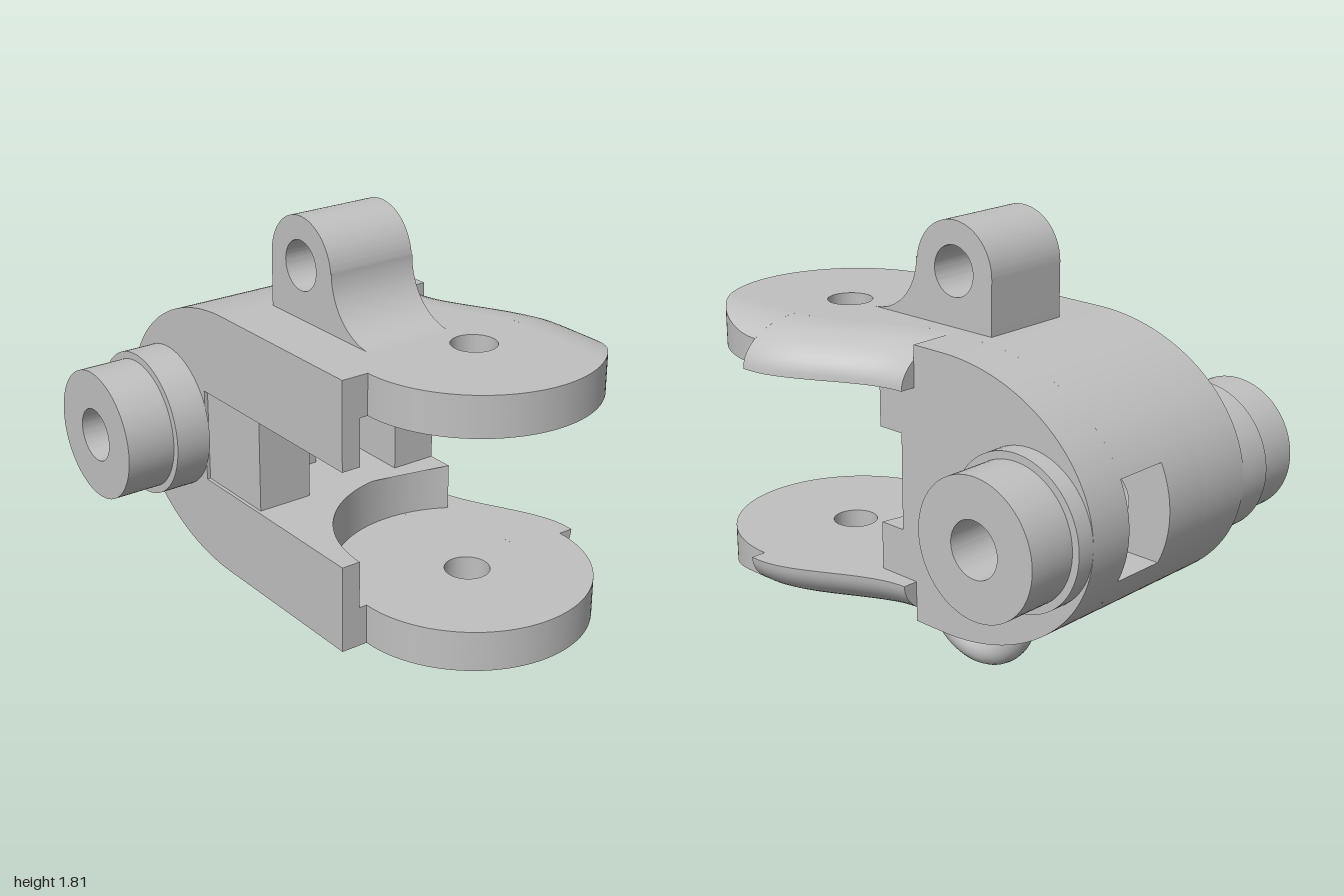
import * as THREE from 'three';
import { toCreasedNormals } from 'three/addons/utils/BufferGeometryUtils.js';

const MID = 0.845;                 // height of the mirror plane between the jaws
const TOP = 1.4, PLATE = 1.235, INNER = 1.04;
const END = -0.13;                 // where the body hands over to the jaws
const EYE = { x: 0.505, z: -0.205, r: 0.492 };
const ROUND = 0.275;               // width of the rounded rear edge

export function createModel() {
  const model = new THREE.Group();
  const steel = new THREE.MeshStandardMaterial({ color: 0xc0c0c0 });
  steel.name = 'plain grey';

  const add = (name, geometry) => {
    const mesh = new THREE.Mesh(toCreasedNormals(geometry, 0.5), steel);
    mesh.name = name;
    model.add(mesh);
  };
  // Reflects a geometry in the mid plane and restores its winding
  const flip = (geometry) => {
    const g = geometry.index ? geometry.toNonIndexed() : geometry.clone();
    const p = g.attributes.position, a = new THREE.Vector3(), b = new THREE.Vector3();
    for (let i = 0; i < p.count; i++) p.setY(i, 2 * MID - p.getY(i));
    for (let i = 0; i < p.count; i += 3) {
      a.fromBufferAttribute(p, i + 1);
      b.fromBufferAttribute(p, i + 2);
      p.setXYZ(i + 1, b.x, b.y, b.z);
      p.setXYZ(i + 2, a.x, a.y, a.z);
    }
    return g;
  };
  const addPair = (name, geometry) => {
    add('upper ' + name, geometry);
    add('lower ' + name, flip(geometry));
  };
  const slab = (shape, z0, z1) => new THREE.ExtrudeGeometry(shape,
    { depth: z1 - z0, bevelEnabled: false, curveSegments: 40 }).translate(0, 0, z0);
  // Plan shapes are drawn in (x, -z)
  const floor = (shape, y0, y1) => new THREE.ExtrudeGeometry(shape,
    { depth: y1 - y0, bevelEnabled: false, curveSegments: 48 }).rotateX(-Math.PI / 2).translate(0, y0, 0);
  const hole = (shape, x, y, r) => shape.holes.push(new THREE.Path().absarc(x, y, r, 0, Math.PI * 2, true));

  // Body: slices along z, each with its own slot depth
  const bodySlice = (slot) => {
    const s = new THREE.Shape();
    s.moveTo(END, TOP);
    s.lineTo(-0.28, TOP);
    s.absellipse(-0.28, MID, 0.72, 0.555, Math.PI / 2, Math.PI * 1.5, false);
    s.lineTo(END, 0.29);
    s.lineTo(END, 0.65);
    s.lineTo(slot, 0.65);
    s.lineTo(slot, INNER);
    s.lineTo(END, INNER);
    hole(s, -0.7, MID, 0.11);
    return s;
  };
  [['front skin', -0.43, 0.385, 0.4], ['front block', -0.06, 0.15, 0.385],
    ['middle wall', -0.3, -0.05, 0.15], ['rear wall', -0.06, -0.475, -0.28]]
    .forEach(([name, slot, z0, z1]) => add('body ' + name, slab(bodySlice(slot), z0, z1)));

  // Body: window passing right through to the rounded end
  const bridge = new THREE.Shape();
  bridge.moveTo(END, INNER);
  bridge.lineTo(END, TOP);
  bridge.lineTo(-0.28, TOP);
  bridge.absellipse(-0.28, MID, 0.72, 0.555, Math.PI / 2, Math.PI - 0.359, false);
  addPair('window bridge', slab(bridge, -0.28, -0.05));

  // Thick jaw roots, hollowed by a round clearance
  const root = new THREE.Shape();
  root.moveTo(END, -0.4);
  root.lineTo(EYE.x, -0.4);
  root.lineTo(EYE.x, -0.32);
  root.absarc(EYE.x, -EYE.z, 0.525, Math.PI * 1.5, Math.PI - 0.54, true);
  root.lineTo(END, 0.475);
  addPair('jaw root', floor(root, INNER, PLATE));

  // Flat part of the jaw plates with the pin hole
  const rearEdge = (x) => -0.54 - 0.22 * THREE.MathUtils.smoothstep(x, END, 0.47);
  const plate = new THREE.Shape();
  plate.moveTo(END, -0.4);
  plate.lineTo(EYE.x, -0.4);
  plate.lineTo(EYE.x, -EYE.z - EYE.r);
  plate.absarc(EYE.x, -EYE.z, EYE.r, -Math.PI / 2, Math.asin(0.28 / EYE.r), false);
  for (let i = 24; i >= 0; i--) {
    const x = END + (EYE.x - END) * i / 24;
    plate.lineTo(x, -rearEdge(x) - ROUND);
  }
  hole(plate, EYE.x, -EYE.z, 0.09);
  addPair('jaw plate', floor(plate, PLATE, TOP));

  // Rounded rear edge: cross-sections in z and y lofted along x
  const roundedEdge = (x0, x1, edge, steps) => {
    const pos = [], rings = [];
    for (let i = 0; i <= steps; i++) {
      const x = x0 + (x1 - x0) * i / steps;
      const start = rearEdge(x) + ROUND, width = Math.max(start - edge(x), 0);
      const full = Math.asin(Math.min(width / ROUND, 1));
      const ring = [[x, PLATE, start]];
      for (let j = 0; j <= 12; j++) {
        const a = full * j / 12;
        ring.push([x, PLATE + (TOP - PLATE) * Math.cos(a), start - ROUND * Math.sin(a)]);
      }
      ring.push([x, PLATE, start - width]);
      rings.push(ring);
    }
    const n = rings[0].length, last = rings[steps];
    for (let i = 0; i < steps; i++) {
      for (let j = 0; j < n; j++) {
        const k = (j + 1) % n, a = rings[i][j], b = rings[i][k], c = rings[i + 1][k], d = rings[i + 1][j];
        pos.push(...a, ...d, ...b, ...b, ...d, ...c);
      }
    }
    for (let j = 1; j < n - 1; j++) {
      pos.push(...rings[0][0], ...rings[0][j], ...rings[0][j + 1]);
      pos.push(...last[0], ...last[j + 1], ...last[j]);
    }
    const g = new THREE.BufferGeometry();
    g.setAttribute('position', new THREE.Float32BufferAttribute(pos, 3));
    return g;
  };
  const eyeEdge = (x) => EYE.z - Math.sqrt(Math.max(EYE.r ** 2 - (x - EYE.x) ** 2, 0));
  addPair('jaw rear edge', roundedEdge(END, EYE.x, rearEdge, 28));
  addPair('jaw eye edge', roundedEdge(EYE.x, EYE.x + Math.sqrt(EYE.r ** 2 - 0.28 ** 2), eyeEdge, 24));

  // Stepped hubs with a bore
  [['front collar', 0.3, 0.4, 0.55], ['front hub', 0.27, 0.55, 0.755],
    ['rear collar', 0.3, -0.55, -0.475], ['rear hub', 0.27, -0.755, -0.55]]
    .forEach(([name, r, z0, z1]) => {
      const s = new THREE.Shape().absarc(-0.7, MID, r, 0, Math.PI * 2, false);
      hole(s, -0.7, MID, 0.11);
      add(name, slab(s, z0, z1));
    });

  // Lifting lug with a flared foot
  const lug = new THREE.Shape();
  lug.moveTo(-0.273, TOP);
  lug.lineTo(0.36, TOP);
  lug.absarc(0.36, 1.64, 0.24, Math.PI * 1.5, Math.PI, true);
  lug.absarc(-0.078, 1.617, 0.195, 0.1, Math.PI, false);
  hole(lug, -0.078, 1.617, 0.1);
  add('lifting lug', slab(lug, -0.212, 0.168));

  // Half ring under the body
  add('lower ring', new THREE.TorusGeometry(0.215, 0.065, 20, 48, Math.PI + 0.3)
    .rotateZ(Math.PI - 0.15).translate(-0.147, 0.28, -0.133));

  return model;
}
